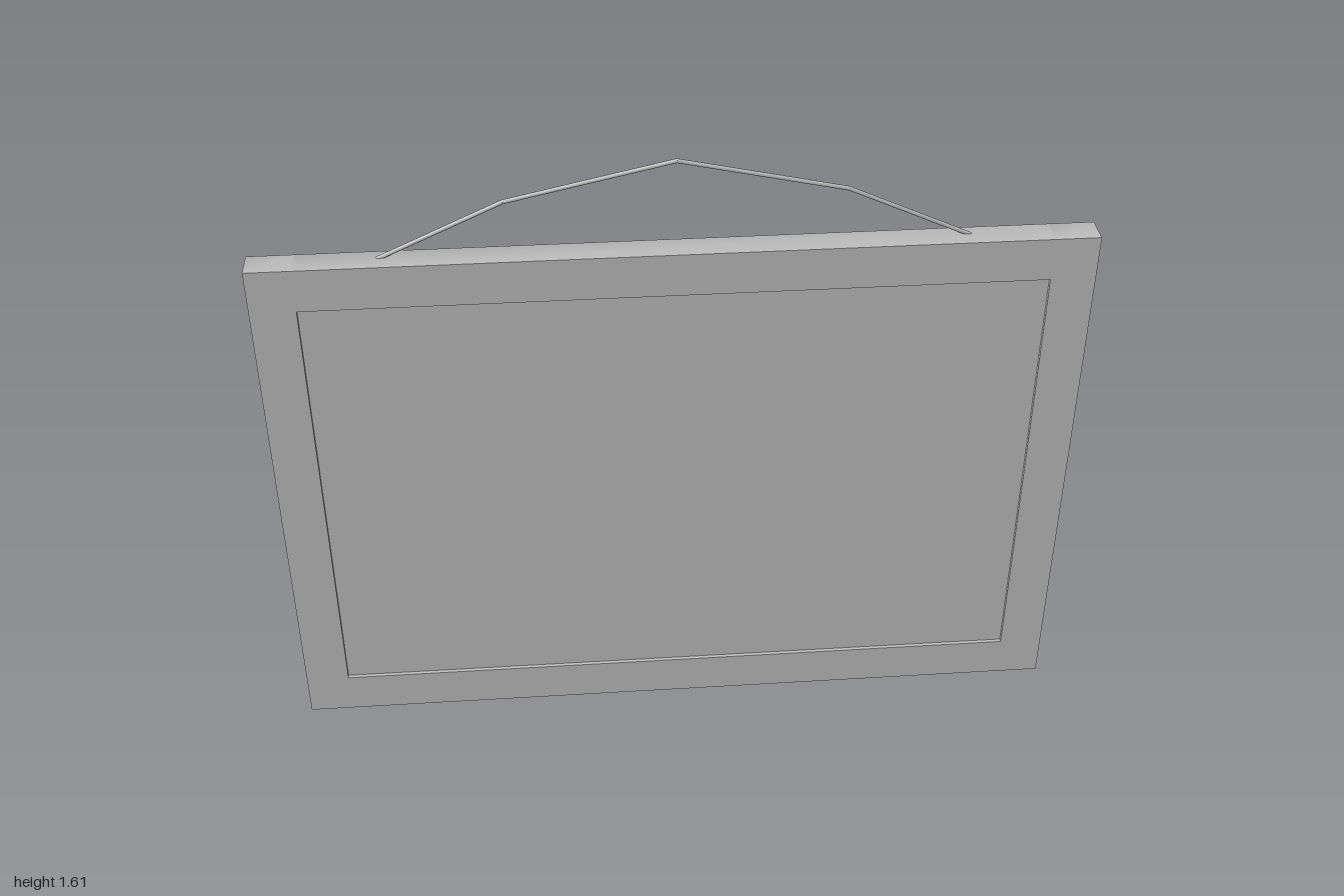
import * as THREE from 'three';
import { toCreasedNormals } from 'three/addons/utils/BufferGeometryUtils.js';

const W = 2, H = 1.38, RAIL = 0.11, D = 0.045, BEVEL = 0.015;
const PANEL_BACK = -0.003, PANEL_FRONT = 0.035;

const grey = new THREE.MeshStandardMaterial({ color: 0xc0c0c0 });
grey.name = 'grey';

function add(parent, name, geometry, x = 0, y = 0, z = 0) {
  const mesh = new THREE.Mesh(geometry, grey);
  mesh.name = name;
  mesh.position.set(x, y, z);
  parent.add(mesh);
  return mesh;
}

// Bar with a flat front and softly bevelled back edges
function railGeometry(w, h) {
  const g = new THREE.BoxGeometry(w, h, 2 * D, 1, 1, 2);
  const p = g.attributes.position;
  for (let i = 0; i < p.count; i++) {
    const z = p.getZ(i);
    if (Math.abs(z) < 1e-6) p.setZ(i, -D + BEVEL);
    else if (z < 0) {
      p.setX(i, p.getX(i) - Math.sign(p.getX(i)) * BEVEL);
      p.setY(i, p.getY(i) - Math.sign(p.getY(i)) * BEVEL);
    }
  }
  g.deleteAttribute('uv');
  return toCreasedNormals(g, THREE.MathUtils.degToRad(50));
}

// Thin raised ribbon following a list of [x, y] points
function strokeGeometry(points, width) {
  const pts = points.map(([x, y]) => new THREE.Vector2(x, y));
  const left = [], right = [];
  pts.forEach((p, i) => {
    const t = pts[Math.min(i + 1, pts.length - 1)].clone().sub(pts[Math.max(i - 1, 0)]).normalize();
    const n = new THREE.Vector2(-t.y, t.x).multiplyScalar(width / 2);
    left.push(p.clone().add(n));
    right.unshift(p.clone().sub(n));
  });
  return new THREE.ExtrudeGeometry(new THREE.Shape([...left, ...right]), { depth: 0.004, bevelEnabled: false });
}

// Points along a parabolic arc, bulging by rise at the middle
function arc(x0, x1, y, rise) {
  return Array.from({ length: 11 }, (_, i) => {
    const t = i / 10;
    return [x0 + (x1 - x0) * t, y + rise * 4 * t * (1 - t)];
  });
}

// Points along a slightly wavy upright line
function wave(x, y0, y1, amount, lean = 0) {
  return Array.from({ length: 9 }, (_, i) => {
    const t = i / 8;
    return [x + lean * t + amount * Math.sin(t * Math.PI * 2), y0 + (y1 - y0) * t];
  });
}

export function createModel() {
  const sign = new THREE.Group();
  sign.name = 'hangingMenuBoard';

  // Frame
  const frame = new THREE.Group();
  frame.name = 'frame';
  sign.add(frame);
  for (const s of [1, -1]) {
    add(frame, s > 0 ? 'leftRail' : 'rightRail', railGeometry(RAIL, H), s * (W - RAIL) / 2, H / 2);
    add(frame, s > 0 ? 'topRail' : 'bottomRail', railGeometry(W - 2 * RAIL, RAIL), 0, H / 2 + s * (H - RAIL) / 2);
  }

  // Board set into the frame
  add(sign, 'board', new THREE.BoxGeometry(W - 2 * RAIL, H - 2 * RAIL, PANEL_FRONT - PANEL_BACK),
    0, H / 2, (PANEL_FRONT + PANEL_BACK) / 2);

  // Raised marks on the back of the board
  const marks = new THREE.Group();
  marks.name = 'boardMarks';
  marks.position.z = PANEL_BACK - 0.003;
  sign.add(marks);
  const stroke = (name, points, width = 0.012) => add(marks, name, strokeGeometry(points, width));
  const line = (name, x0, x1, y, width) => stroke(name, [[x0, y], [x1, y]], width);

  line('headingBar', 0.74, -0.74, 1.157, 0.017);
  line('headingUnderline', 0.56, -0.56, 1.117, 0.009);

  // Rows: long bar, three dashes, short bar
  for (const y of [0.907, 0.793, 0.575, 0.462, 0.268]) {
    line('rowBar', 0.455, -0.135, y);
    for (let i = 0; i < 3; i++) line('rowDash', -0.218 - i * 0.09, -0.256 - i * 0.09, y);
    line('rowEndBar', -0.55, -0.712, y);
  }

  // Loaf picture
  line('loafBase', 0.782, 0.564, 0.886, 0.01);
  stroke('loafTop', arc(0.782, 0.564, 0.902, 0.06), 0.012);
  for (const x of [0.725, 0.673, 0.62]) stroke('loafCut', wave(x, 0.908, 0.942, 0.002, -0.012), 0.008);

  // Steaming bowl picture
  stroke('bowl', arc(0.782, 0.564, 0.53, -0.06), 0.016);
  for (const x of [0.73, 0.673, 0.617]) stroke('steam', wave(x, 0.52, 0.585, 0.004), 0.009);

  // Two wavy uprights
  stroke('wavyStroke', wave(0.73, 0.204, 0.304, 0.005, 0.012), 0.012);
  stroke('wavyStroke', wave(0.615, 0.2, 0.304, 0.005, -0.008), 0.012);

  // Hanging cord in straight lengths
  const cord = new THREE.Group();
  cord.name = 'hangingCord';
  sign.add(cord);
  const path = [[-0.71, 1.37], [-0.4, 1.512], [0, 1.6], [0.4, 1.512], [0.71, 1.37]]
    .map(([x, y]) => new THREE.Vector3(x, y, -0.002));
  for (let i = 0; i < path.length - 1; i++) {
    const dir = path[i + 1].clone().sub(path[i]);
    const mid = path[i].clone().add(path[i + 1]).multiplyScalar(0.5);
    const piece = add(cord, 'cordLength', new THREE.CylinderGeometry(0.0055, 0.0055, dir.length() + 0.002, 8), mid.x, mid.y, mid.z);
    piece.quaternion.setFromUnitVectors(new THREE.Vector3(0, 1, 0), dir.normalize());
  }
  return sign;
}
